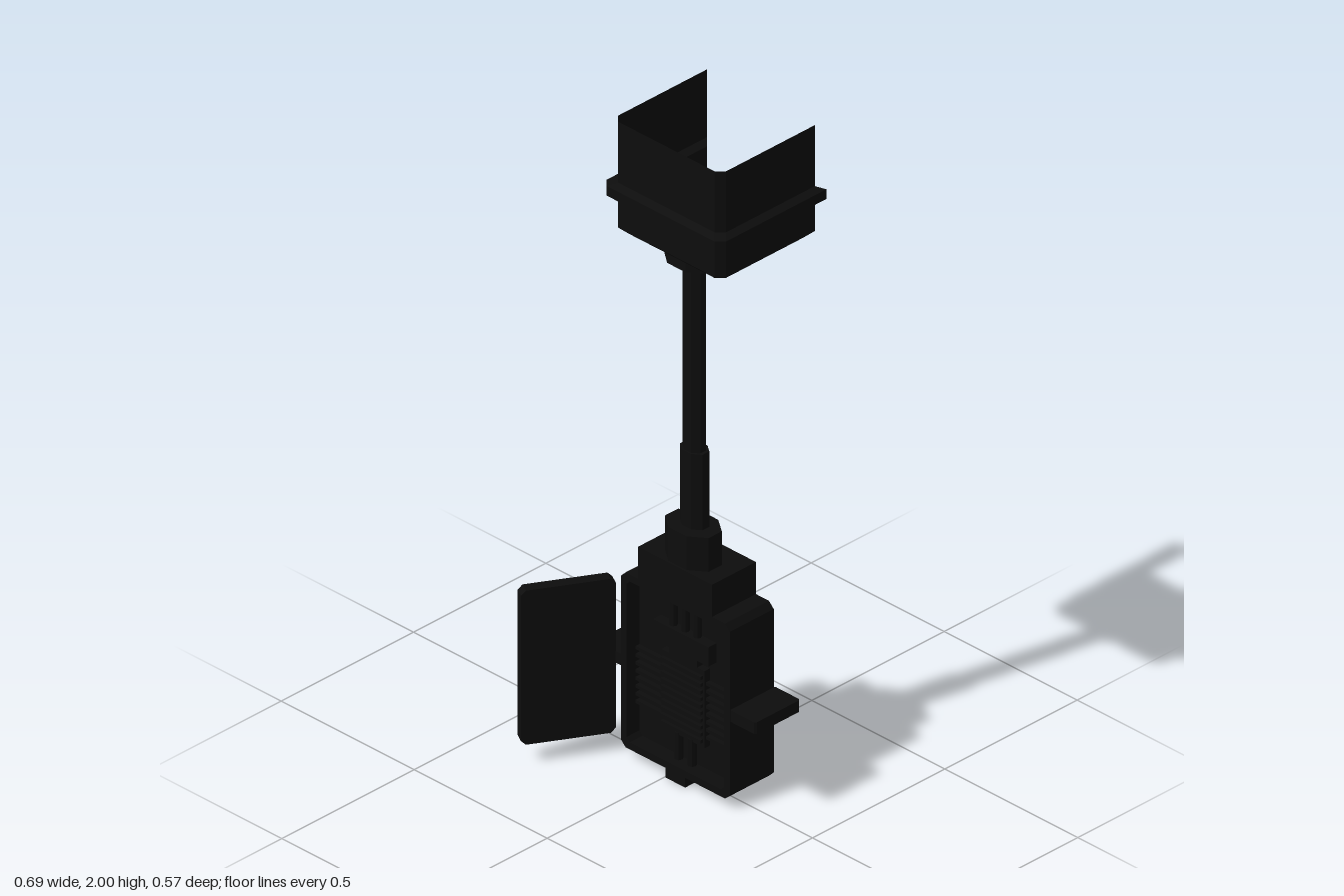
import * as THREE from 'three';

const CX = 0.042; // mast axis, offset because the open door widens one side
const black = new THREE.MeshStandardMaterial({ color: 0x0d0d0d, flatShading: true, side: THREE.DoubleSide });

export function createModel() {
  const model = new THREE.Group();

  const add = (name, geometry, x = 0, y = 0, z = 0, parent = model) => {
    const mesh = new THREE.Mesh(geometry, black);
    mesh.name = name;
    mesh.position.set(x, y, z);
    parent.add(mesh);
    return mesh;
  };

  // Box given by its limits
  const box = (name, x0, x1, y0, y1, z0, z1) =>
    add(name, new THREE.BoxGeometry(x1 - x0, y1 - y0, z1 - z0), (x0 + x1) / 2, (y0 + y1) / 2, (z0 + z1) / 2);

  // Eight-sided upright prism with flats facing the axes
  const prism = (name, width, depth, y0, y1, z) => {
    const r = 0.5 / Math.cos(Math.PI / 8);
    const g = new THREE.CylinderGeometry(r, r, y1 - y0, 8).rotateY(Math.PI / 8).scale(width, 1, depth);
    return add(name, g, CX, (y0 + y1) / 2, z);
  };

  // Rectangle outline with cut corners
  const cutRect = (Type, x0, x1, y0, y1, c) => new Type([
    [x0 + c, y0], [x1 - c, y0], [x1, y0 + c], [x1, y1 - c],
    [x1 - c, y1], [x0 + c, y1], [x0, y1 - c], [x0, y0 + c],
  ].map(([x, y]) => new THREE.Vector2(x, y)));

  // Cabinet: open frame with an inner panel
  const frame = cutRect(THREE.Shape, -0.165, 0.245, 0.03, 0.575, 0.018);
  frame.holes.push(cutRect(THREE.Path, -0.143, 0.223, 0.052, 0.553, 0.012));
  add('cabinetFrame', new THREE.ExtrudeGeometry(frame, { depth: 0.166, bevelEnabled: false }), 0, 0, -0.11);
  box('cabinetPanel', -0.15, 0.23, 0.045, 0.56, -0.012, 0.008);
  box('cabinetFoot', 0.003, 0.077, 0, 0.035, -0.11, 0.056);
  box('cabinetTop', -0.1, 0.178, 0.57, 0.675, -0.11, 0.056);

  // Side handles
  for (const [x0, x1] of [[-0.26, -0.16], [0.24, 0.34]]) {
    const plate = cutRect(THREE.Shape, x0, x1, -0.055, 0.115, 0.006);
    const g = new THREE.ExtrudeGeometry(plate, { depth: 0.036, bevelEnabled: false }).rotateX(-Math.PI / 2);
    add('sideHandle', g, 0, 0.277, 0);
  }

  // Mechanism inside the cabinet
  box('coreBlock', -0.04, 0.122, 0.13, 0.37, -0.035, 0.028);
  box('upperBlock', -0.06, 0.148, 0.4, 0.46, -0.03, 0.04);
  box('coreNeck', -0.01, 0.095, 0.37, 0.4, -0.02, 0.03);
  for (let i = 0; i < 10; i++) {
    const y = 0.145 + i * 0.022;
    box('coreRib', -0.034, 0.116, y, y + 0.01, 0.026, 0.038);
  }
  for (let i = 0; i < 8; i++) {
    const y = 0.155 + i * 0.024;
    box('leftRail', 0.122, 0.223, y, y + 0.01, 0.006, 0.022);
    box('rightRail', -0.143, -0.04, y, y + 0.01, 0.006, 0.022);
  }
  for (const dx of [-0.045, 0, 0.045]) {
    add('upperPipe', new THREE.CylinderGeometry(0.012, 0.012, 0.1, 8), CX + dx, 0.505, 0.02);
  }
  for (const dx of [-0.025, 0.025]) {
    add('lowerPipe', new THREE.CylinderGeometry(0.013, 0.013, 0.09, 8), CX + dx, 0.092, 0.02);
  }

  // Open door, swung out on the right side
  const doorShape = cutRect(THREE.Shape, 0, 0.262, 0.06, 0.54, 0.014);
  const doorGeometry = new THREE.ExtrudeGeometry(doorShape, { depth: 0.034, bevelEnabled: false });
  const door = add('door', doorGeometry.translate(0, 0, -0.017), -0.2, 0, 0.046);
  door.rotation.y = -Math.PI * 2 / 3;

  // Mast
  prism('mastCollar', 0.165, 0.12, 0.67, 0.78, -0.01);
  prism('lowerMast', 0.085, 0.062, 0.775, 1.015, -0.015);
  prism('upperMast', 0.066, 0.052, 1.01, 1.61, -0.014);
  prism('headNeck', 0.165, 0.125, 1.605, 1.655, -0.008);

  // Head: bucket open at the top and back, lofted from U-shaped sections [height, outward offset]
  const profile = [[1.65, 0], [1.67, 0.021], [1.76, 0.021], [1.77, 0.043], [1.8, 0.043], [1.81, 0.021], [2, 0.021]];
  const cut = 0.022;
  const section = ([y, o]) => {
    const w = 0.182 + o, front = 0.073 + o, back = -0.242 - o;
    return [[-w, back], [-w, front - cut], [-w + cut, front], [w - cut, front], [w, front - cut], [w, back]]
      .map(([x, z]) => [x + 0.044, y, z]);
  };
  const position = [], index = [];
  profile.forEach((p, row) => {
    section(p).forEach((v) => position.push(...v));
    if (row === 0) return;
    for (let i = 0; i < 5; i++) {
      const a = (row - 1) * 6 + i, b = row * 6 + i;
      index.push(a, a + 1, b + 1, a, b + 1, b);
    }
  });
  for (let i = 1; i < 5; i++) index.push(0, i + 1, i); // floor
  const head = new THREE.BufferGeometry();
  head.setAttribute('position', new THREE.Float32BufferAttribute(position, 3));
  head.setIndex(index);
  const headFlat = head.toNonIndexed();
  headFlat.computeVertexNormals();
  add('headBucket', headFlat);
  add('floorBolt', new THREE.CylinderGeometry(0.03, 0.035, 0.025, 8), CX, 1.66, -0.012);

  return model;
}
